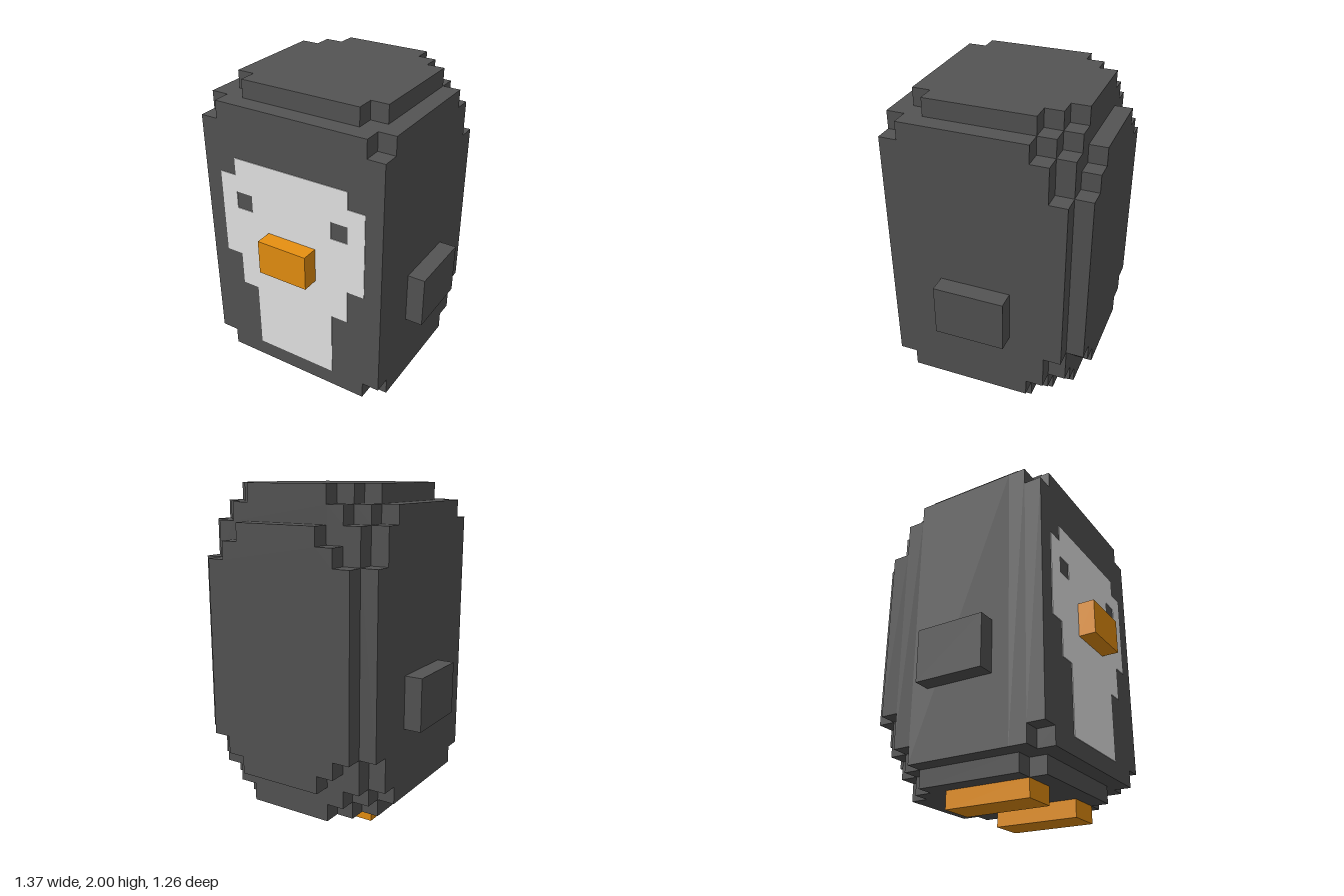
import * as THREE from 'three';

const U = 2 / 19; // one block

export function createModel() {
  const model = new THREE.Group();
  const material = (name, color) => {
    const m = new THREE.MeshStandardMaterial({ color });
    m.name = name;
    return m;
  };
  const charcoal = material('charcoal', 0x545454);
  const white = material('white', 0xf0f0f0);
  const orange = material('orange', 0xf09612);

  const add = (name, geometry, mat) => {
    const mesh = new THREE.Mesh(geometry, mat);
    mesh.name = name;
    model.add(mesh);
    return mesh;
  };

  // Box given by its limits, in blocks
  const box = (name, mat, [x0, x1], [y0, y1], [z0, z1]) => {
    const g = new THREE.BoxGeometry((x1 - x0) * U, (y1 - y0) * U, (z1 - z0) * U);
    g.translate((x0 + x1) * U / 2, (y0 + y1) * U / 2, (z0 + z1) * U / 2);
    return add(name, g, mat);
  };

  // Mirrored stepped outline from rows of [bottom, top, half width], low to high
  const steppedShape = (rows) => {
    const right = rows.flatMap(([y0, y1, w]) => [[w, y0], [w, y1]]);
    const left = right.map(([x, y]) => [-x, y]).reverse();
    return new THREE.Shape([...right, ...left].map(([x, y]) => new THREE.Vector2(x * U, y * U)));
  };
  const plate = (shape, z, depth) =>
    new THREE.ExtrudeGeometry(shape, { depth, bevelEnabled: false }).translate(0, 0, z);

  // Body slabs: back z, front z, then half widths by block inward from top and bottom
  const slabs = [
    [-6, -5, [0, 0, 2.5, 3.5, 4.5]],
    [-5, -4, [2.5, 3.5, 4.5, 4.5, 5.5]],
    [-4, -3, [3.5, 4.5, 5.5]],
    [-3, 3, [4.5, 5.5]],
    [3, 4, [3.5, 5.5]],
    [4, 5, [0, 4.5, 5.5]],
  ];
  slabs.forEach(([z0, z1, widths], i) => {
    const last = widths.length - 1;
    const lower = [];
    const upper = [];
    widths.slice(0, last).forEach((w, b) => {
      if (!w) return;
      lower.push([1 + b, 2 + b, w]);
      upper.unshift([18 - b, 19 - b, w]);
    });
    const rows = [...lower, [1 + last, 19 - last, widths[last]], ...upper];
    add(`bodySlab${i + 1}`, plate(steppedShape(rows), z0 * U, (z1 - z0) * U), charcoal);
  });

  // Pale face and belly, with the eyes left open to the dark body
  const face = steppedShape([[3, 7, 2.5], [7, 9, 3.5], [9, 14, 4.5], [14, 15, 3.5]]);
  for (const s of [-1, 1]) {
    const eye = [[2.5, 12], [3.5, 12], [3.5, 13], [2.5, 13]];
    face.holes.push(new THREE.Path(eye.map(([x, y]) => new THREE.Vector2(s * x * U, y * U))));
  }
  add('faceAndBelly', plate(face, 5 * U, 0.004), white);

  box('beak', orange, [-1.5, 1.5], [9, 11], [5, 6]);

  // Flippers and feet
  box('leftFlipper', charcoal, [5.5, 6.5], [6, 9], [-2, 2]);
  box('rightFlipper', charcoal, [-6.5, -5.5], [6, 9], [-2, 2]);
  box('leftFoot', orange, [1.5, 3.5], [0, 1], [-2, 3]);
  box('rightFoot', orange, [-3.5, -1.5], [0, 1], [-2, 3]);

  return model;
}
